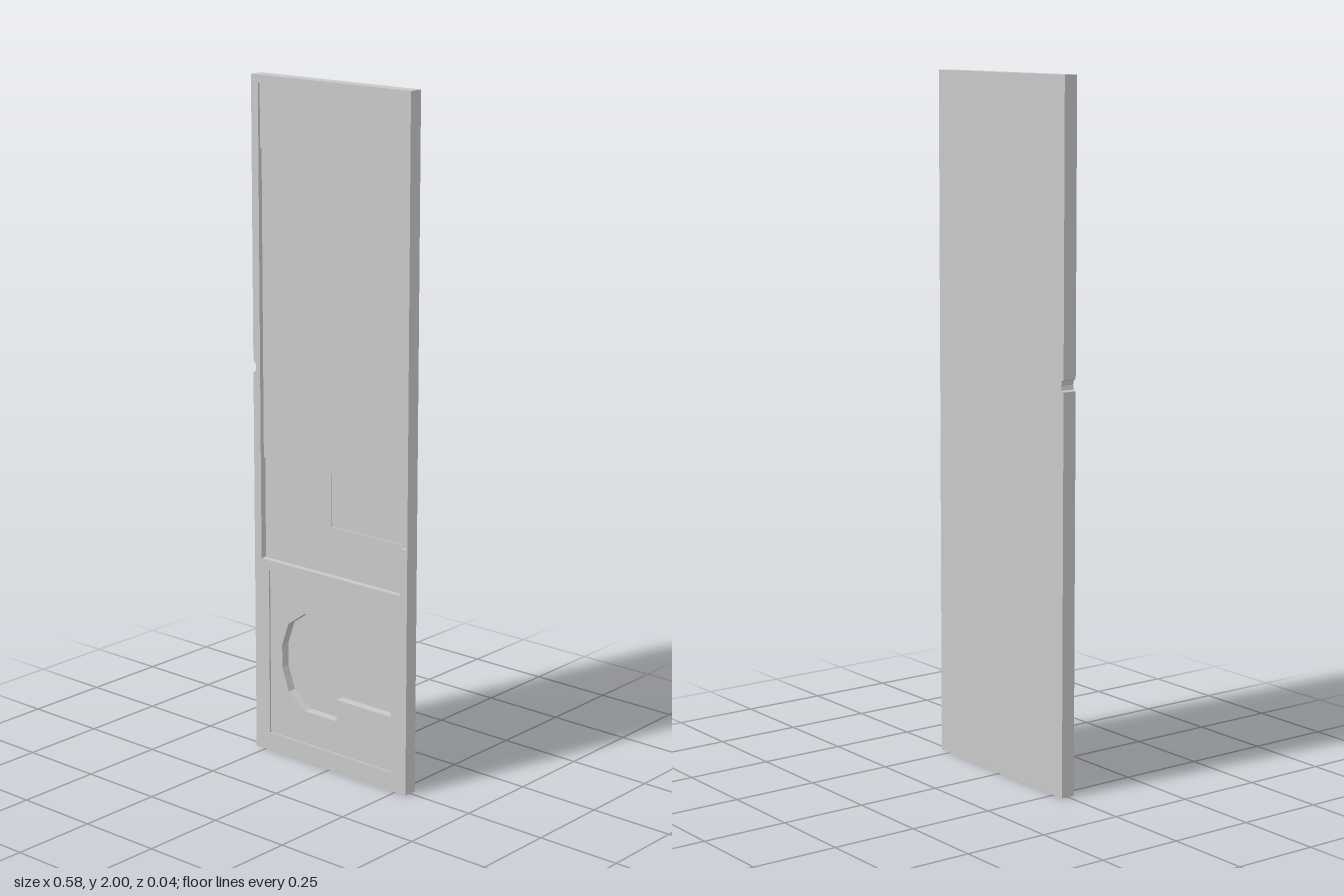
import * as THREE from 'three';

const W = 0.288, H = 2;            // half width and height of the panel
const L = -0.262, R = 0.262;       // sides of the upper pocket
const LOW = 0.592, TOP = 1.976;    // ends of the upper pocket

const rect = (x0, y0, x1, y1) => [[x0, y0], [x1, y0], [x1, y1], [x0, y1]];
const points = list => list.map(([x, y]) => new THREE.Vector2(x, y));

// Keyhole-shaped recess: a chamfered head with a straight neck
const keyhole = [
  [0.232, 0.222], [0.232, 0.387], [0.023, 0.387], [0.023, 0.456], [-0.098, 0.456], [-0.162, 0.411],
  [-0.187, 0.341], [-0.187, 0.271], [-0.162, 0.201], [-0.098, 0.156], [0.023, 0.156], [0.023, 0.222]
];

// Upper pocket down to LOW, with a short slot cut into its side, ending inside the rim
const pocket = top => [
  [L, LOW], [R, LOW], [R, 0.73], [0.284, 0.73], [0.284, 0.763], [R, 0.763], [R, top], [L, top]
];

// Small through notch in the side edge
const notch = [[-W, 1.18], [-W + 0.008, 1.176], [-W + 0.011, 1.163], [-W + 0.008, 1.15], [-W, 1.146]];

function layer(name, front, back, holes, material) {
  const shape = new THREE.Shape(points([[-W, 0], [W, 0], [W, H], [-W, H], ...notch]));
  for (const hole of holes) shape.holes.push(new THREE.Path(points(hole)));
  const geometry = new THREE.ExtrudeGeometry(shape, { depth: front - back, bevelEnabled: false });
  const mesh = new THREE.Mesh(geometry, material);
  mesh.name = name;
  mesh.position.z = back;
  return mesh;
}

export function createModel() {
  const grey = new THREE.MeshStandardMaterial({ color: 0xc8c8c8 });
  grey.name = 'light grey';

  const group = new THREE.Group();
  group.name = 'recessedPanel';
  group.add(
    // Rim with the upper pocket and the shallow lower plate recess
    layer('faceFrame', 0.021, 0.016, [pocket(TOP), rect(-0.233, 0.056, 0.232, 0.562)], grey),
    // Steps in the floor of the upper pocket
    layer('upperStep', 0.016, 0.014, [pocket(TOP), keyhole], grey),
    layer('middleStep', 0.014, 0.008, [pocket(1.795), keyhole], grey),
    layer('lowerStep', 0.008, 0.002, [rect(L, LOW, R, 0.895), keyhole], grey),
    // Small rectangular recess beside the slot
    layer('smallRecess', 0.002, -0.002, [rect(-0.008, 0.735, R, 0.895), keyhole], grey),
    layer('keyholeWall', -0.002, -0.011, [keyhole], grey),
    layer('backPlate', -0.011, -0.021, [], grey)
  );
  return group;
}
